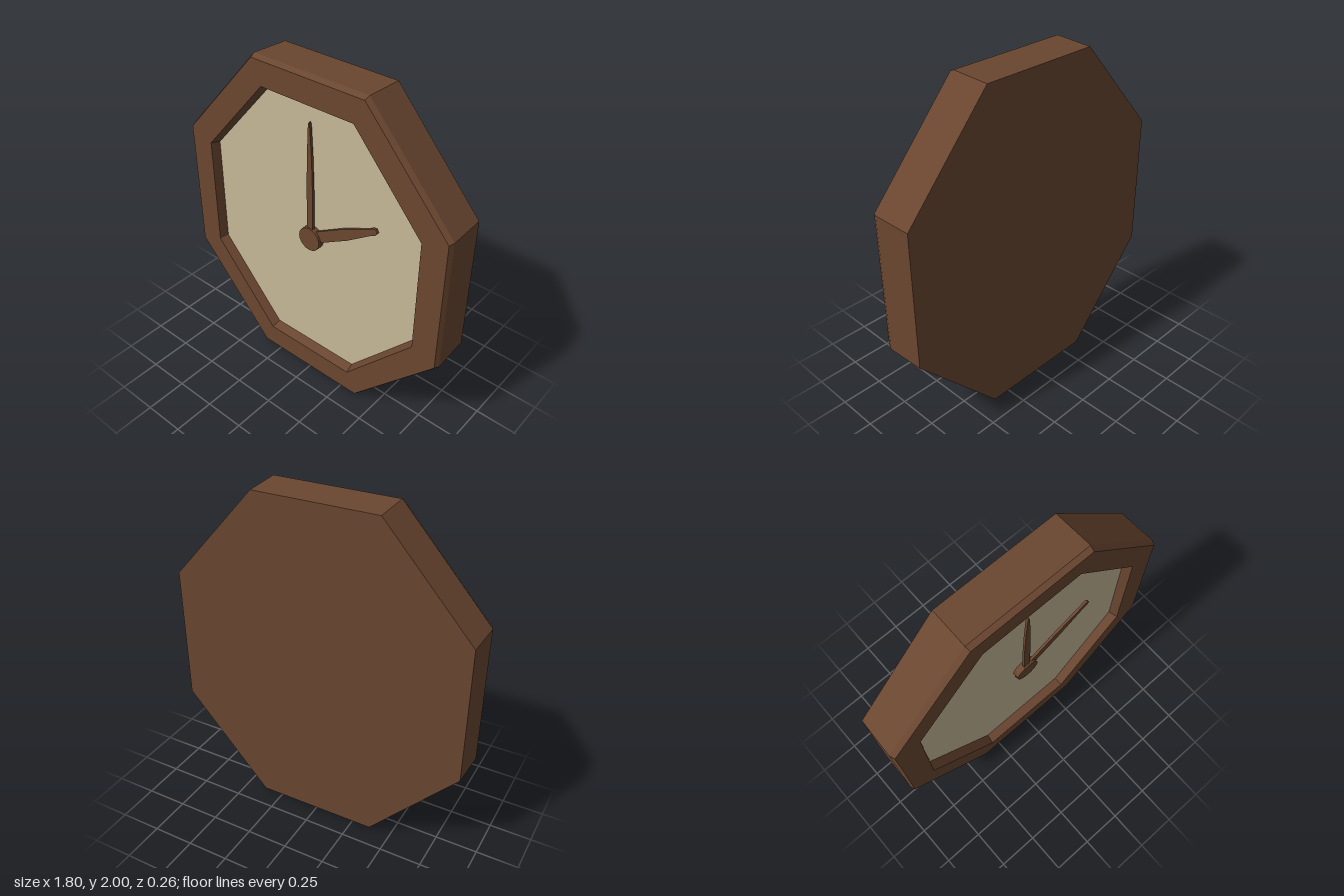
import * as THREE from 'three';

const wood = new THREE.MeshStandardMaterial({ color: 0x6a4630 });
wood.name = 'brownWood';
wood.flatShading = true;
const cream = new THREE.MeshStandardMaterial({ color: 0xc6b797 });
cream.name = 'creamDial';

// Octagon of half-width w and half-height h, counterclockwise from the front
function octagon(w, h) {
  const k = 0.413;
  return [[w, -h * k], [w, h * k], [w * k, h], [-w * k, h],
    [-w, h * k], [-w, -h * k], [-w * k, -h], [w * k, -h]];
}

// Skin a series of octagonal sections [halfWidth, halfHeight, z]
function skin(sections) {
  const pos = [];
  const rings = sections.map(([w, h, z]) => octagon(w, h).map(([x, y]) => [x, y, z]));
  for (let i = 0; i < rings.length - 1; i++) {
    for (let k = 0; k < 8; k++) {
      const n = (k + 1) % 8;
      const a = rings[i][k], b = rings[i][n], c = rings[i + 1][n], d = rings[i + 1][k];
      if (sections[i][0] > 0) pos.push(...a, ...b, ...c);
      if (sections[i + 1][0] > 0) pos.push(...a, ...c, ...d);
    }
  }
  const geo = new THREE.BufferGeometry();
  geo.setAttribute('position', new THREE.Float32BufferAttribute(pos, 3));
  geo.computeVertexNormals();
  return geo;
}

// Flat hand pointing up, from half-outline points [halfWidth, distance]
function hand(name, outline, z, angle) {
  const right = outline.map(([x, y]) => new THREE.Vector2(x, y));
  const left = outline.map(([x, y]) => new THREE.Vector2(-x, y)).reverse();
  const geo = new THREE.ExtrudeGeometry(new THREE.Shape([...right, ...left]),
    { depth: 0.015, bevelEnabled: false });
  const mesh = new THREE.Mesh(geo, wood);
  mesh.name = name;
  mesh.position.z = z;
  mesh.rotation.z = angle;
  return mesh;
}

export function createModel() {
  const clock = new THREE.Group();
  clock.name = 'wallClock';
  const body = new THREE.Group();
  body.name = 'clockBody';
  body.position.y = 1;
  clock.add(body);

  // Case: back, tapered sides, bevelled rim, flat front and recess wall
  const frame = new THREE.Mesh(skin([
    [0, 0, -0.13], [0.892, 0.99, -0.13], [0.9, 1, 0.1], [0.888, 0.985, 0.13],
    [0.738, 0.842, 0.13], [0.722, 0.822, 0.075],
  ]), wood);
  frame.name = 'frame';
  body.add(frame);

  // Dial set back inside the frame
  const dial = new THREE.Mesh(skin([[0.722, 0.822, 0.075], [0, 0, 0.075]]), cream);
  dial.name = 'dial';
  body.add(dial);

  // Hands showing two o'clock
  body.add(hand('minuteHand',
    [[0.02, 0], [0.021, 0.3], [0.016, 0.52], [0.007, 0.7], [0.003, 0.73]], 0.09, 0));
  body.add(hand('hourHand',
    [[0.014, -0.077], [0.034, 0.06], [0.034, 0.28], [0.018, 0.47], [0.02, 0.5], [0.012, 0.518]],
    0.085, -Math.PI / 3));

  // Central hub
  const hub = new THREE.Mesh(new THREE.CylinderGeometry(0.073, 0.073, 0.04, 20), wood);
  hub.name = 'hub';
  hub.rotation.x = Math.PI / 2;
  hub.position.z = 0.095;
  body.add(hub);

  return clock;
}
